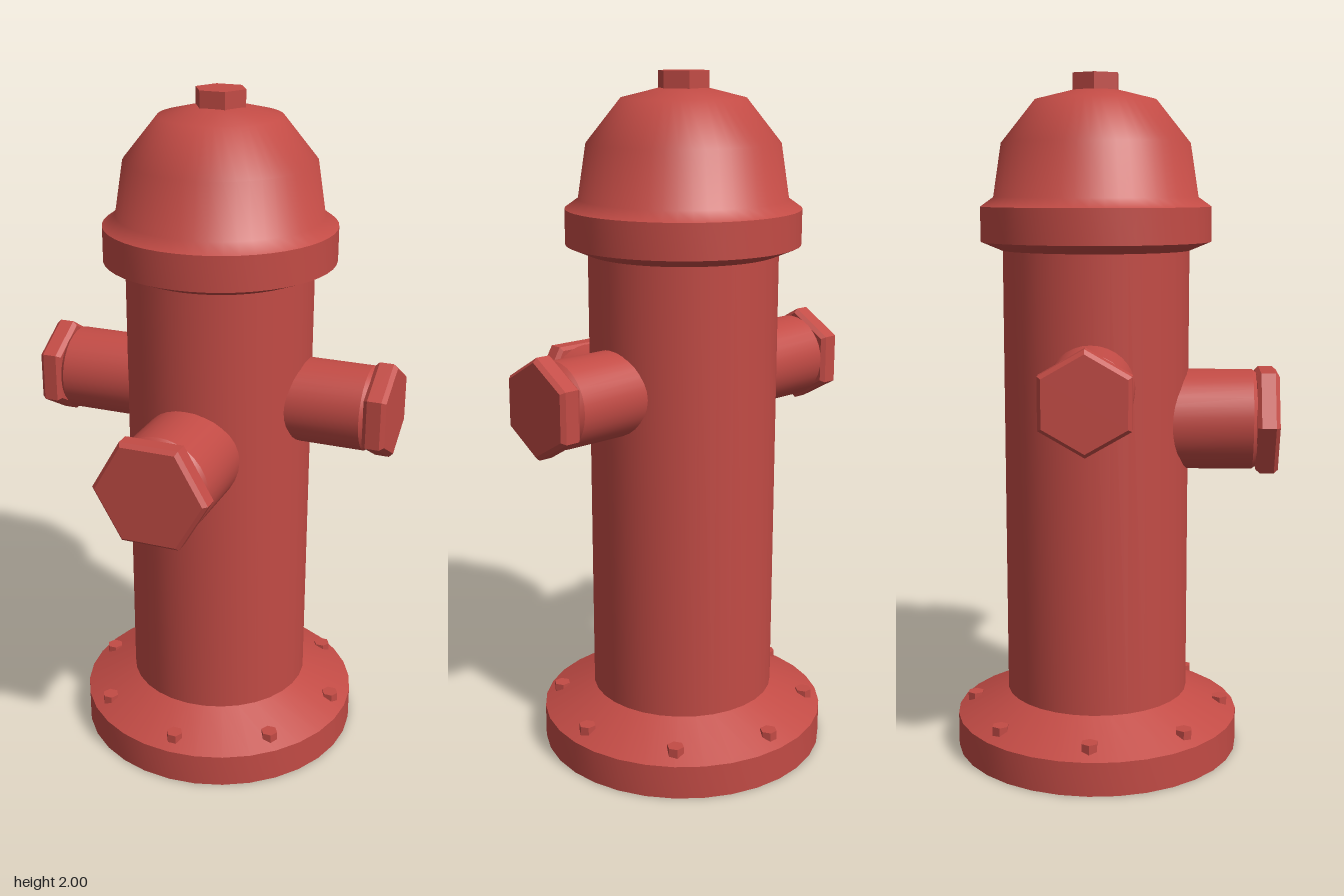
import * as THREE from 'three';
import { toCreasedNormals } from 'three/addons/utils/BufferGeometryUtils.js';

const red = new THREE.MeshStandardMaterial({ color: 0xc24b45 });
red.name = 'hydrant red';

// Turned part from [radius, height] points; hexagons get a corner on the x axis.
function turned(name, profile, sides, crease = 0.9) {
  const points = profile.map(([r, y]) => new THREE.Vector2(r, y));
  const geometry = new THREE.LatheGeometry(points, sides);
  if (sides === 6) geometry.rotateY(Math.PI / 6);
  const mesh = new THREE.Mesh(toCreasedNormals(geometry, crease), red);
  mesh.name = name;
  return mesh;
}

function hexPart(name, r, y0, y1, bevel = 0) {
  const profile = bevel
    ? [[0, y0], [r - bevel, y0], [r, y0 + bevel], [r, y1 - bevel], [r - bevel, y1], [0, y1]]
    : [[0, y0], [r, y0], [r, y1], [0, y1]];
  return turned(name, profile, 6, 0.3);
}

// Outlet pipe with hexagonal cap, pointing up its own y axis
function outlet(name, pipeRadius, capRadius) {
  const group = new THREE.Group();
  group.name = name;
  group.add(
    turned('pipe', [[0, 0.15], [pipeRadius, 0.15], [pipeRadius, 0.46],
      [pipeRadius - 0.01, 0.472], [0, 0.472]], 32, 0.6),
    hexPart('cap', capRadius, 0.47, 0.535, 0.012),
  );
  return group;
}

export function createModel() {
  const model = new THREE.Group();
  model.name = 'fire hydrant';

  // Base flange and barrel
  model.add(
    turned('baseFlange', [[0, 0], [0.425, 0], [0.425, 0.1], [0.27, 0.177]], 32),
    turned('barrel', [[0.272, 0.17], [0.272, 1.52]], 32),
  );

  // Bonnet with its rim and operating nut
  model.add(
    turned('bonnet', [[0.25, 1.5], [0.275, 1.5], [0.335, 1.525], [0.335, 1.625], [0.297, 1.652],
      [0.273, 1.805], [0.175, 1.927], [0.07, 1.953], [0, 1.955]], 48),
    hexPart('operatingNut', 0.074, 1.93, 2),
  );

  // Two side outlets and the larger front outlet
  for (const [side, label] of [[1, 'left'], [-1, 'right']]) {
    const hose = outlet(label + 'Outlet', 0.123, 0.143);
    hose.position.y = 1.128;
    hose.rotation.z = -side * Math.PI / 2;
    model.add(hose);
  }
  const front = outlet('frontOutlet', 0.148, 0.17);
  front.position.y = 1.003;
  front.rotation.x = Math.PI / 2;
  model.add(front);

  // Ring of flange bolts
  for (let i = 0; i < 8; i++) {
    const angle = i * Math.PI / 4;
    const bolt = hexPart('flangeBolt', 0.025, 0.1, 0.14);
    bolt.position.set(0.376 * Math.sin(angle), 0, 0.376 * Math.cos(angle));
    model.add(bolt);
  }

  // The barrel stands behind centre to balance the front outlet
  model.children.forEach((part) => { part.position.z -= 0.055; });
  return model;
}
